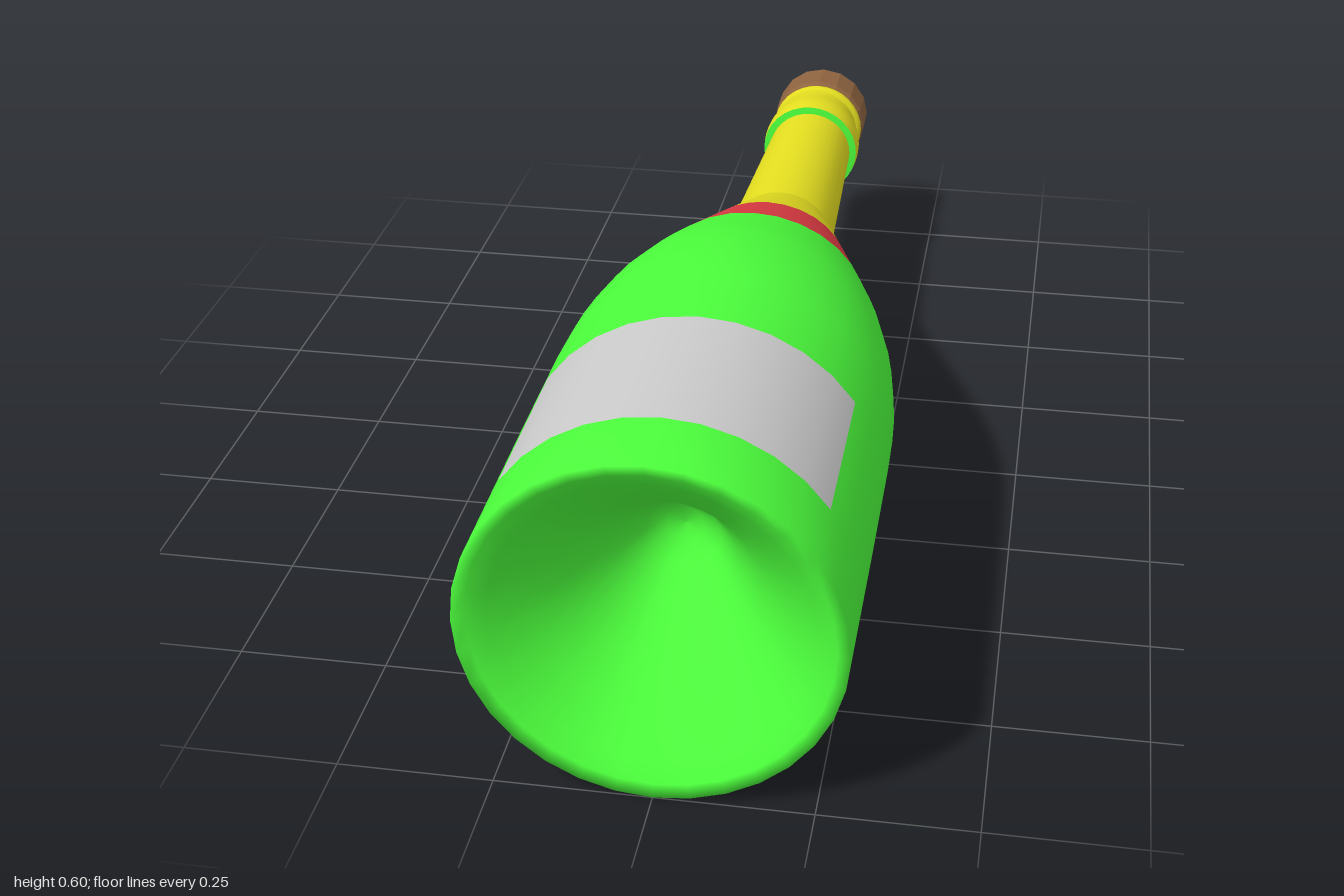
import * as THREE from 'three';

const SIDES = 32, AXIS_Y = 0.298;

// outer wall: [z, radius] from base towards mouth
const WALL = [[1, 0.298], [0.87, 0.298], [0.64, 0.298], [0.4, 0.297], [0.33, 0.293], [0.26, 0.285], [0.19, 0.272],
  [0.13, 0.257], [0.06, 0.236], [0, 0.216], [-0.03, 0.207], [-0.33, 0.102], [-0.765, 0.086]];

function wallRadius(z) {
  for (let i = 1; i < WALL.length; i++) {
    const [z0, r0] = WALL[i - 1], [z1, r1] = WALL[i];
    if (z >= z1) return r0 + (r1 - r0) * (z0 - z) / (z0 - z1);
  }
  return WALL[WALL.length - 1][1];
}

// wall points between two z values, including both ends
function wallBetween(zStart, zEnd) {
  const inner = WALL.filter(([z]) => z < zStart - 0.005 && z > zEnd + 0.005).map(([z, r]) => [r, z]);
  return [[wallRadius(zStart), zStart], ...inner, [wallRadius(zEnd), zEnd]];
}

// lathe lying along z; profile is [radius, z]
function lathe(profile, sides = SIDES, start = 0, sweep = Math.PI * 2) {
  const pts = profile.map(([r, z]) => new THREE.Vector2(r, -z));
  return new THREE.LatheGeometry(pts, sides, start, sweep).rotateX(-Math.PI / 2);
}

// lets the colour edges dip towards the base on the upper side
function dipEdges(geometry) {
  const p = geometry.attributes.position;
  for (let i = 0; i < p.count; i++) {
    const x = p.getX(i), y = p.getY(i), z = p.getZ(i);
    const r = Math.hypot(x, y);
    const weight = z > 0 ? 1 - z / 0.19 : z < -0.19 ? 1 - (-0.19 - z) / 0.14 : 1;
    if (weight <= 0 || r < 1e-6 || z < -0.33) continue;
    const newZ = z + 0.038 * weight * Math.max(0, y / r) ** 2;
    const k = wallRadius(newZ) / r;
    p.setXYZ(i, x * k, y * k, newZ);
  }
  return geometry;
}

export function createModel() {
  const group = new THREE.Group();
  const add = (name, geometry, color, options = {}) => {
    const mesh = new THREE.Mesh(geometry, new THREE.MeshStandardMaterial({ color, ...options }));
    mesh.name = name;
    mesh.position.y = AXIS_Y;
    group.add(mesh);
  };
  const GREEN = 0x4cff3c, YELLOW = 0xe6e020, RED = 0xe03c44, CORK = 0x8f6440;

  // glass body with the hollow in its base
  const hollow = [[0, 0.69], [0.03, 0.695], [0.06, 0.72], [0.1, 0.785], [0.15, 0.86], [0.2, 0.92], [0.25, 0.972], [0.278, 0.993]];
  add('glassBody', dipEdges(lathe([...hollow, ...wallBetween(1, -0.025)])), GREEN);

  // coloured band and neck foil
  add('shoulderBand', dipEdges(lathe(wallBetween(-0.025, -0.19))), RED);
  add('neckFoilLower', dipEdges(lathe(wallBetween(-0.19, -0.33))), YELLOW);
  add('neckFoilUpper', lathe(wallBetween(-0.33, -0.765)), YELLOW);

  // bare glass step under the mouth ring
  add('glassStep', lathe([[0.084, -0.764], [0.1, -0.766]]), GREEN);

  // mouth ring and lip
  add('mouthRing', lathe([[0.1, -0.766], [0.102, -0.79], [0.101, -0.815], [0.096, -0.84], [0.089, -0.865], [0.087, -0.885]]), YELLOW);
  add('lip', lathe([[0.086, -0.885], [0.094, -0.888], [0.096, -0.897], [0.093, -0.906], [0, -0.907]]), YELLOW);

  // cork with bevelled rims
  add('cork', lathe([[0, -0.906], [0.092, -0.906], [0.099, -0.916], [0.099, -0.988], [0.092, -1], [0, -1]], 16), CORK, { flatShading: true });

  // blank paper label wrapped over the upper side
  const half = Math.PI * 10 / SIDES;
  add('label', lathe([[0.3, 0.87], [0.3, 0.56]], 10, -half, half * 2), 0xcccccc, { side: THREE.DoubleSide });

  return group;
}
